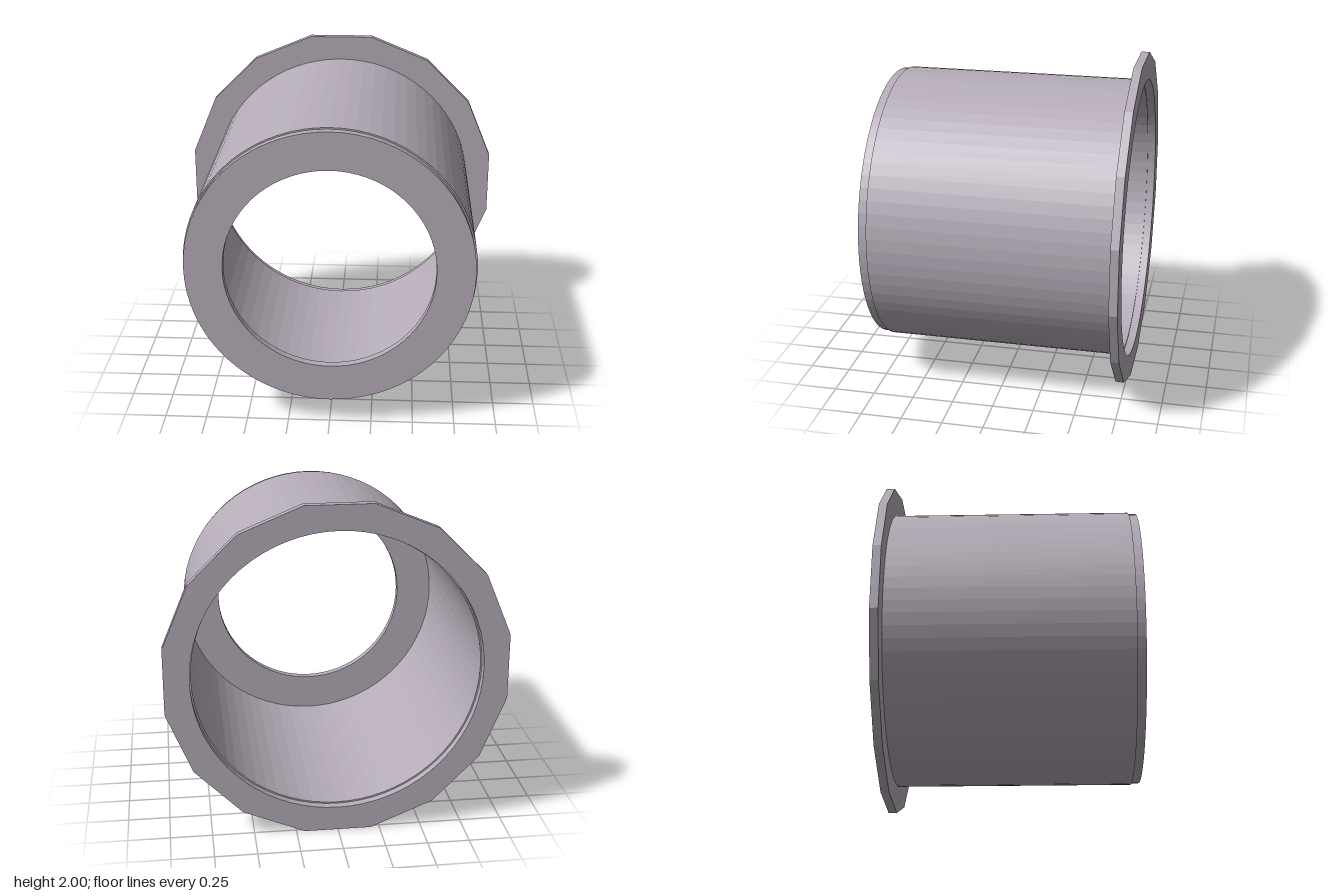
import * as THREE from 'three';

const SEGMENTS = 72;
const CENTRE_Y = 1;
const HALF_LENGTH = 0.77;
const PLATE = 0.05;          // thickness of the flange and the end ring
const BODY_RADIUS = 0.852;
const BORE_RADIUS = 0.843;
const HOLE_RADIUS = 0.617;

export function createModel() {
  const model = new THREE.Group();
  model.name = 'flangedSleeve';
  const metal = new THREE.MeshStandardMaterial({ color: 0xb5acb8 });
  metal.name = 'mauve grey';
  metal.flatShading = true;

  const add = (name, geometry) => {
    const mesh = new THREE.Mesh(geometry, metal);
    mesh.name = name;
    mesh.position.y = CENTRE_Y;
    model.add(mesh);
  };

  // Revolves a closed [radius, z] profile about the z axis
  const revolve = (profile) => new THREE.LatheGeometry(
    [...profile, profile[0]].map(([r, z]) => new THREE.Vector2(r, z)), SEGMENTS
  ).rotateX(Math.PI / 2);

  // Thin tube wall
  const inner = HALF_LENGTH - PLATE;
  add('tubeWall', revolve([
    [BORE_RADIUS, -inner], [BODY_RADIUS, -inner], [BODY_RADIUS, inner], [BORE_RADIUS, inner],
  ]));

  // Front end ring, slightly narrower than the tube
  add('frontRing', revolve([
    [HOLE_RADIUS, inner], [BORE_RADIUS, inner], [BORE_RADIUS, HALF_LENGTH], [HOLE_RADIUS, HALF_LENGTH],
  ]));

  // Sixteen-sided rear flange with flats at top, bottom and sides
  const sides = 16;
  const cornerRadius = 1 / Math.cos(Math.PI / sides);
  const corners = Array.from({ length: sides }, (_, i) => {
    const a = (i + 0.5) * 2 * Math.PI / sides;
    return new THREE.Vector2(cornerRadius * Math.cos(a), cornerRadius * Math.sin(a));
  });
  const outline = new THREE.Shape(corners);
  outline.holes.push(new THREE.Path().absarc(0, 0, BODY_RADIUS, 0, Math.PI * 2, true));
  const flange = new THREE.ExtrudeGeometry(outline, {
    depth: PLATE, bevelEnabled: false, curveSegments: SEGMENTS / 2,
  });
  add('rearFlange', flange.translate(0, 0, -HALF_LENGTH));

  return model;
}
